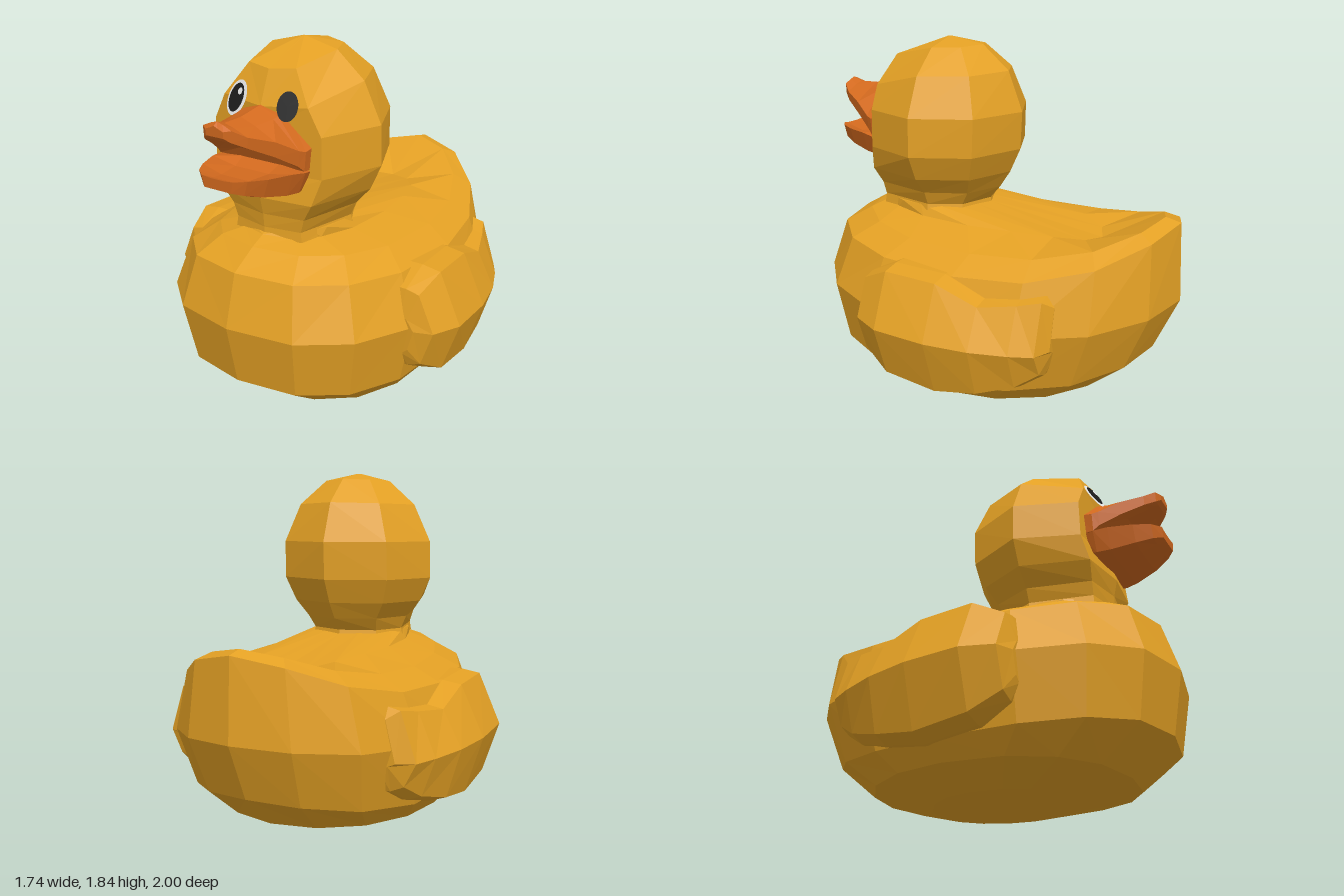
import * as THREE from 'three';

const paint = (name, color, extra = {}) => {
  const m = new THREE.MeshStandardMaterial({ color, ...extra });
  m.name = name;
  return m;
};

// Closed faceted skin through equal-length loops of [x, y, z], capped at both ends
function loft(rings) {
  const n = rings[0].length;
  const tris = [];
  for (let i = 0; i < rings.length - 1; i++) {
    for (let j = 0; j < n; j++) {
      const k = (j + 1) % n;
      const a = rings[i][j], b = rings[i][k], c = rings[i + 1][k], d = rings[i + 1][j];
      // alternate the diagonal on mirrored halves so both sides match
      if (j < n / 2) tris.push([a, b, c], [a, c, d]);
      else tris.push([a, b, d], [b, c, d]);
    }
  }
  const cap = (ring, flip) => {
    const mid = [0, 1, 2].map(q => ring.reduce((s, p) => s + p[q], 0) / n);
    ring.forEach((p, j) => {
      const q = ring[(j + 1) % n];
      tris.push(flip ? [mid, q, p] : [mid, p, q]);
    });
  };
  cap(rings[0], true);
  cap(rings[rings.length - 1], false);
  // turn all faces outward
  const v = p => new THREE.Vector3(...p);
  const volume = tris.reduce((s, [a, b, c]) => s + v(a).dot(v(b).cross(v(c))), 0);
  if (volume < 0) tris.forEach(t => t.reverse());
  const g = new THREE.BufferGeometry();
  g.setAttribute('position', new THREE.Float32BufferAttribute(tris.flat(2), 3));
  g.computeVertexNormals();
  return g;
}

// Horizontal ring from the front round through +x; the front half may be
// squared off in z (flat) and widened in x (full), and y may rise at each end
function ring(n, [w, zF, zB, yF, yS, yB], flat, full, mid = (zF + zB) / 2) {
  return Array.from({ length: n }, (_, i) => {
    const a = (i / n) * Math.PI * 2;
    const c = Math.abs(Math.cos(a)) < 1e-6 ? 0 : Math.cos(a);
    const s = Math.sin(a);
    if (c <= 0) return [w * s, yS + (yB - yS) * Math.abs(c) ** 3, mid + (mid - zB) * c];
    return [
      w * Math.sign(s) * Math.abs(s) ** full,
      yS + (yF - yS) * c ** (2 * flat),
      mid + (zF - mid) * c ** flat,
    ];
  });
}

export function createModel() {
  const yellow = paint('duck yellow', 0xe3a024, { flatShading: true });
  const orange = paint('beak orange', 0xd2691e, { flatShading: true });
  const black = paint('eye black', 0x1c1c1c);
  const white = paint('eye white', 0xe8e8e8);

  const model = new THREE.Group();
  model.name = 'duck';
  const add = (name, geometry, material, parent = model) => {
    const mesh = new THREE.Mesh(geometry, material);
    mesh.name = name;
    parent.add(mesh);
    return mesh;
  };

  // Body: rings from the belly up, full at the breast, the back rising into a tail
  const body = [
    // w, zF, zB, yF, yS, yB
    [0.34, 0.40, -0.33, 0.01, 0.01, 0.0],
    [0.60, 0.72, -0.65, 0.07, 0.085, 0.09],
    [0.675, 0.94, -0.87, 0.24, 0.18, 0.28],
    [0.74, 1.00, -1.00, 0.56, 0.50, 0.57],
    [0.64, 0.92, -0.98, 0.82, 0.75, 0.98],
    [0.51, 0.78, -0.90, 0.90, 0.83, 1.0],
    [0.31, 0.70, -0.57, 0.935, 0.90, 0.84],
    [0.26, 0.66, 0.10, 0.96, 0.96, 0.95],
  ];
  add('body', loft(body.map(s => ring(16, s, 0.84, 0.82))), yellow);

  // Head and neck: eight-sided with a flattened face and sloping brow
  const head = [
    [0.92, 0.28, 0.69, 0.08, 0.92, 0.92],
    [0.97, 0.27, 0.685, 0.09, 0.97, 0.97],
    [1.04, 0.30, 0.69, 0.03, 1.04, 1.04],
    [1.13, 0.38, 0.71, -0.03, 1.13, 1.13],
    [1.26, 0.44, 0.68, -0.09, 1.26, 1.26],
    [1.46, 0.435, 0.675, -0.10, 1.46, 1.46],
    [1.57, 0.34, 0.68, -0.02, 1.66, 1.67],
    [1.73, 0.19, 0.61, 0.13, 1.79, 1.80],
    [1.835, 0.01, 0.34, 0.32, 1.835, 1.835],
  ].map(([yF, w, zF, zB, yS, yB]) => ring(8, [w, zF, zB, yF, yS, yB], 0.3, 1, 0.33));
  add('head', loft(head), yellow);

  // Beak halves: cross-sections tapering forward, meeting at the back of the mouth
  const beakLoop = ([z, w, top, mid, bot, shoulder, rise], heel) => {
    const side = [
      [w * 0.42, top + shoulder], [w, mid], [w * heel, bot], [w * 0.4, bot + rise],
    ];
    return [
      [0, top, z],
      ...side.map(([x, y]) => [x, y, z]),
      [0, bot + rise, z],
      ...side.reverse().map(([x, y]) => [-x, y, z]),
    ];
  };
  add('upperBeak', loft([
    // z, w, top, mid, bottom, shoulder, arch
    [0.62, 0.26, 1.58, 1.41, 1.30, -0.035, 0],
    [0.69, 0.258, 1.575, 1.40, 1.305, -0.035, 0],
    [0.72, 0.245, 1.57, 1.41, 1.335, -0.035, 0.03],
    [0.82, 0.19, 1.555, 1.47, 1.40, -0.03, 0.035],
    [0.93, 0.125, 1.555, 1.51, 1.46, -0.015, 0.015],
    [0.98, 0.08, 1.575, 1.545, 1.49, -0.01, 0],
    [1.00, 0.05, 1.56, 1.54, 1.51, -0.01, 0],
  ].map(s => beakLoop(s, 0.96))), orange);
  add('lowerBeak', loft([
    [0.62, 0.25, 1.32, 1.29, 1.20, 0, -0.02],
    [0.69, 0.255, 1.315, 1.30, 1.195, 0, -0.02],
    [0.76, 0.235, 1.285, 1.31, 1.20, 0, -0.02],
    [0.88, 0.19, 1.285, 1.315, 1.225, 0, -0.015],
    [0.96, 0.14, 1.30, 1.32, 1.25, 0, -0.005],
    [1.00, 0.09, 1.315, 1.32, 1.265, 0, 0],
  ].map(s => beakLoop(s, 0.84))), orange);

  // Wings: raised panels with a ridge along the middle and bevelled ends
  const wing = [
    // z, top, bottom, ridge x
    [0.465, 0.56, 0.38, 0.71],
    [0.43, 0.69, 0.30, 0.80],
    [0.28, 0.76, 0.21, 0.87],
    [0.00, 0.745, 0.17, 0.87],
    [-0.22, 0.66, 0.20, 0.83],
    [-0.40, 0.68, 0.25, 0.765],
    [-0.51, 0.70, 0.32, 0.71],
    [-0.55, 0.66, 0.42, 0.62],
  ];
  for (const [name, side] of [['leftWing', 1], ['rightWing', -1]]) {
    add(name, loft(wing.map(([z, top, bot, x]) => {
      const bulge = (top - bot) / 0.56;
      return [
        [0.50, top + 0.015, z], [x - 0.22 * bulge, top + 0.015, z], [x - 0.12 * bulge, top, z],
        [x, 0.48 + 0.05 * z, z],
        [x - 0.09 * bulge, bot + 0.015, z], [x - 0.19 * bulge, bot - 0.015, z], [0.50, bot - 0.02, z],
      ].map(p => [p[0] * side, p[1], p[2]]);
    })), yellow);
  }

  // Eyes: flat ovals laid on the slope of the face
  for (const side of [1, -1]) {
    const eye = new THREE.Group();
    eye.name = side > 0 ? 'leftEye' : 'rightEye';
    const normal = new THREE.Vector3(0.28 * side, 0.5, 1).normalize();
    eye.position.set(0.143 * side, 1.58, 0.656).addScaledVector(normal, 0.014);
    eye.lookAt(eye.position.clone().add(normal));
    model.add(eye);
    const oval = (name, rx, ry, x, y, z, material) => {
      const disc = add(name, new THREE.CircleGeometry(1, 28), material, eye);
      disc.scale.set(rx, ry, 1);
      disc.position.set(x, y, z);
    };
    oval('pupil', 0.051, 0.07, 0, 0, 0.004, black);
    if (side < 0) {
      oval('eyeWhite', 0.067, 0.087, 0, 0, 0, white);
      oval('eyeGlint', 0.016, 0.017, 0.018, 0.033, 0.008, white);
    }
  }
  return model;
}
